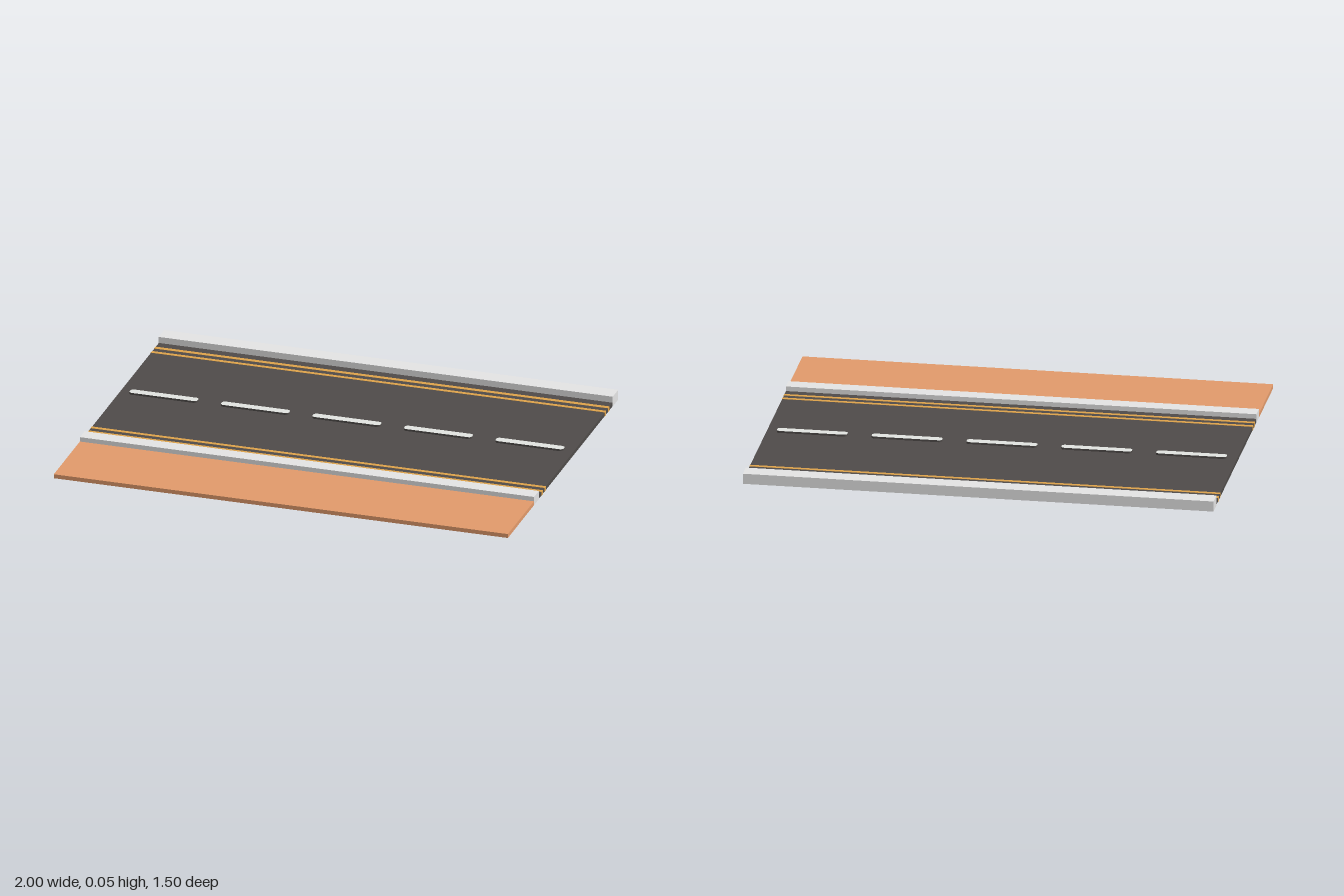
import * as THREE from 'three';

const mat = (name, color) => new THREE.MeshStandardMaterial({ name, color });

export function createModel() {
  const group = new THREE.Group();
  group.name = 'roadSegment';
  const asphalt = mat('asphalt', 0x504c4a);
  const concrete = mat('concrete', 0xe6e6e6);
  concrete.side = THREE.DoubleSide; // kerbs are open below
  const clay = mat('clay', 0xe49c6c);
  const yellow = mat('yellowPaint', 0xe0a44c);
  const white = mat('whitePaint', 0xe4e6e3);

  // Full-length strip between two z values and two heights
  function strip(name, material, z0, z1, y0, y1, length = 2) {
    const mesh = new THREE.Mesh(new THREE.BoxGeometry(length, y1 - y0, z1 - z0), material);
    mesh.position.set(0, (y0 + y1) / 2, (z0 + z1) / 2);
    mesh.name = name;
    group.add(mesh);
    return mesh;
  }

  // Ground slabs
  strip('roadSurface', asphalt, -0.675, 0.33, 0.0006, 0.0175, 1.998);
  strip('sidewalk', clay, 0.393, 0.75, 0, 0.018);

  // Kerbs: boxes without an underside
  function kerb(name, z0, z1, height) {
    const mesh = strip(name, concrete, z0, z1, 0, height);
    const index = Array.from(mesh.geometry.index.array);
    index.splice(18, 6);
    mesh.geometry.setIndex(index);
    mesh.geometry.clearGroups();
  }
  kerb('frontKerb', 0.33, 0.395, 0.038);
  kerb('backKerb', -0.75, -0.675, 0.045);

  // Double yellow edge lines, set through the slab
  for (const [z, half] of [[-0.623, 0.01], [-0.577, 0.009], [0.241, 0.009], [0.284, 0.009]]) {
    strip('edgeLine', yellow, z - half, z + half, 0, 0.0183);
  }

  // Raised dashes with rounded corners along the lane divider: white faces, dark sides
  const halfL = 0.15, halfW = 0.0185, r = 0.014;
  const shape = new THREE.Shape();
  shape.absarc(halfL - r, halfW - r, r, 0, Math.PI / 2);
  shape.absarc(-halfL + r, halfW - r, r, Math.PI / 2, Math.PI);
  shape.absarc(-halfL + r, -halfW + r, r, Math.PI, Math.PI * 1.5);
  shape.absarc(halfL - r, -halfW + r, r, Math.PI * 1.5, Math.PI * 2);
  const dash = new THREE.ExtrudeGeometry(shape, { depth: 0.026, bevelEnabled: false, curveSegments: 4 });
  dash.rotateX(-Math.PI / 2);
  for (let i = -2; i <= 2; i++) {
    const mesh = new THREE.Mesh(dash, [white, asphalt]);
    mesh.name = 'laneDash';
    mesh.position.set(i * 0.403, 0, -0.15);
    group.add(mesh);
  }
  return group;
}
